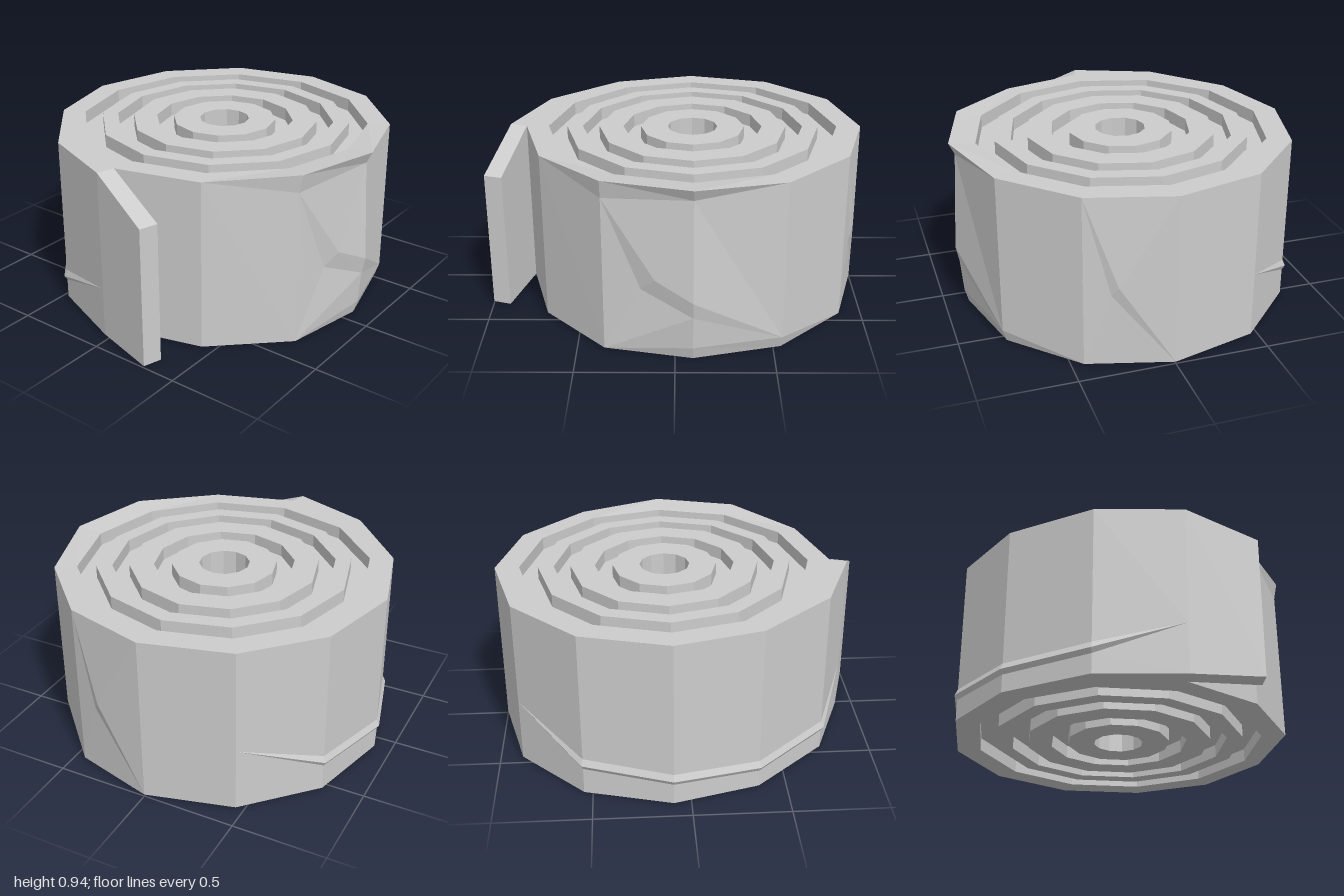
import * as THREE from 'three';

const CX = 0.09, TOP = 0.92, BOT = 0.01;

// Flat-shaded surface from polygons; corners run counter-clockwise seen from outside
function surface(name, polys, material) {
  const pos = [];
  for (const p of polys) {
    for (let i = 1; i < p.length - 1; i++) {
      const tri = [p[0], p[i], p[i + 1]].map((v) => new THREE.Vector3(...v));
      if (new THREE.Triangle(...tri).getArea() < 1e-7) continue;
      tri.forEach((v) => pos.push(v.x, v.y, v.z));
    }
  }
  const geo = new THREE.BufferGeometry();
  geo.setAttribute('position', new THREE.Float32BufferAttribute(pos, 3));
  geo.computeVertexNormals();
  const mesh = new THREE.Mesh(geo, material);
  mesh.name = name;
  return mesh;
}

export function createModel() {
  const group = new THREE.Group();
  group.name = 'rolledMat';
  const grey = new THREE.MeshStandardMaterial({ color: 0xcccccc });
  grey.name = 'matGrey';

  // Corner pairs of the outer layer: left side, front, right side, back
  const at = (x, z, yt = TOP, yb = BOT, xb = x, zb = z) => ({ t: [x, yt, z], b: [xb, yb, zb] });
  const L = at(-0.81, 0), A = at(-0.69, 0.44);
  const B = at(-0.36, 0.80, 0.937, BOT, -0.36, 0.79);
  const C = at(0.09, 0.92, 0.937, 0, 0.09, 0.87);
  const D = at(0.545, 0.775, TOP, 0, 0.54, 0.755);
  const E = at(0.88, 0.44), F = at(1, 0), G = at(0.88, -0.46);
  const H = at(0.545, -0.79), I = at(0.09, -0.91), J = at(-0.355, -0.79), K = at(-0.73, -0.46);
  const T1 = at(-0.90, -0.03), T2 = at(-1, 0.32, 0.76), T3 = at(-0.905, 0.35, 0.76);
  const panel = (p, q) => [p.t, p.b, q.b, q.t];

  // Front wall: tucked under the rim, with a diagonal fold
  const b1 = [-0.36, 0.84, 0.78], c1 = [0.09, 0.875, 0.89];
  const c2 = [0.09, 0.07, 0.89], d2 = [0.545, 0.065, 0.775];
  const cr = [0.09, 0.34, 0.922], cv = [0.09, 0.25, 0.905];
  const m1 = [-0.10, 0.44, 0.867], m2 = [-0.17, 0.37, 0.825];
  group.add(surface('frontWall', [
    [A.t, A.b, B.b, b1],
    [c1, b1, m1], [c1, m1, cr],
    [b1, m2, m1], [m1, m2, cv], [m1, cv, cr],
    [b1, B.b, m2], [m2, B.b, cv], [B.b, c2, cv],
    [c1, cr, d2], [c1, d2, D.t], [cr, cv, d2], [cv, c2, d2],
    [D.t, d2, E.b, E.t],
  ], grey));
  group.add(surface('frontRimLips', [
    [A.t, b1, B.t], [B.t, b1, c1], [B.t, c1, C.t], [C.t, c1, D.t],
    [B.b, C.b, c2], [c2, C.b, D.b], [c2, D.b, d2], [d2, D.b, E.b],
  ], grey));

  // Side walls, with a slanting fold on the left flank
  const s1 = [0.95, 0.45, 0.28], s2 = [0.925, 0.40, 0.31];
  group.add(surface('sideWalls', [
    [E.t, s1, F.t], [s1, F.b, F.t],
    [E.t, s2, s1], [s2, F.b, s1],
    [E.t, E.b, s2], [s2, E.b, F.b],
    panel(F, G), panel(L, A),
  ], grey));

  // Back wall with a sharp ledge that fades out at both ends
  const ledge = [[G, 0.36], [H, 0.18], [I, 0.15], [J, 0.13], [K, 0.14], [T1, 0.28]];
  const columns = ledge.map(([p, y], i) => {
    const [x, , z] = p.t, mid = i > 0 && i < 5;
    const k = mid ? 1.017 : 1;
    return [p.t, [x, y + (mid ? 0.035 : 0), z],
      [CX + (x - CX) * k, y, z * k],
      [x, y - (mid ? 0.025 : 0), z], p.b];
  });
  const back = [];
  for (let i = 0; i < 5; i++) {
    const p = columns[i], q = columns[i + 1];
    for (let j = 0; j < 4; j++) back.push([p[j], p[j + 1], q[j + 1]], [p[j], q[j + 1], q[j]]);
  }
  group.add(surface('backWall', back, grey));

  // Loose end of the mat
  group.add(surface('looseEnd', [
    panel(T1, T2), panel(T2, T3), panel(T3, L),
    [T1.t, T2.t, T3.t, L.t], [L.b, T3.b, T2.b, T1.b],
  ], grey));

  // Top and bottom faces of the outer layer
  const R = 0.78;
  const ring = [L, A, B, C, D, E, F, G, H, I, J, K];
  const inner = ring.map((_, k) => {
    const a = k * Math.PI / 6;
    return at(CX - R * Math.cos(a), R * Math.sin(a));
  });
  const rims = [[K.t, T1.t, L.t], [L.b, T1.b, K.b]];
  ring.forEach((p, k) => {
    const n = (k + 1) % 12;
    rims.push([p.t, ring[n].t, inner[n].t, inner[k].t]);
    rims.push([inner[k].b, inner[n].b, ring[n].b, p.b]);
  });
  group.add(surface('outerLayerRims', rims, grey));

  // Inner layers: alternating ridges and grooves on both ends, open core
  const radii = [R, 0.68, 0.595, 0.505, 0.375, 0.28, 0.135];
  const depth = 0.07, top = [], bottom = [];
  radii.forEach((r, i) => {
    const ys = i === 6 ? [0] : i % 2 ? [depth, 0] : [0, depth];
    ys.forEach((d) => {
      top.push(new THREE.Vector2(r, TOP - d));
      bottom.unshift(new THREE.Vector2(r, BOT + d));
    });
  });
  const layersGeo = new THREE.LatheGeometry([...top, ...bottom], 12).toNonIndexed();
  layersGeo.computeVertexNormals();
  const layers = new THREE.Mesh(layersGeo, grey);
  layers.name = 'innerLayers';
  layers.position.x = CX;
  group.add(layers);

  return group;
}
